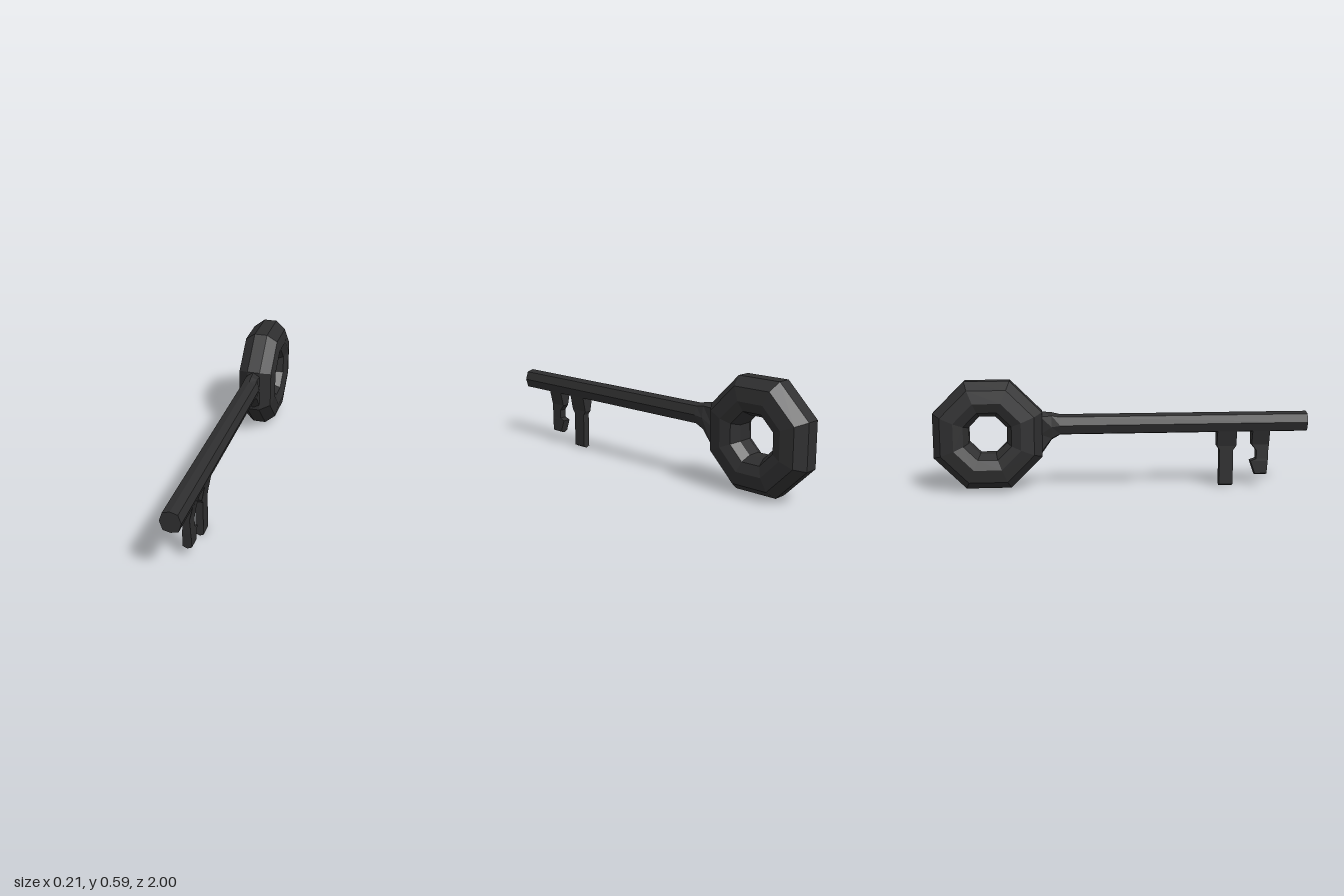
import * as THREE from 'three';

const iron = new THREE.MeshStandardMaterial({ color: 0x2e2e2f, flatShading: true });
iron.name = 'dark iron';

// Skin a row of equal-length cross-sections and cap both ends.
function loft(name, sections) {
  const n = sections[0].length, last = (sections.length - 1) * n, index = [];
  for (let k = 0; k < sections.length - 1; k++) {
    for (let j = 0; j < n; j++) {
      const a = k * n + j, b = k * n + (j + 1) % n;
      index.push(a, b, b + n, a, b + n, a + n);
    }
  }
  for (let j = 1; j < n - 1; j++) index.push(0, j + 1, j, last, last + j, last + j + 1);
  const geometry = new THREE.BufferGeometry();
  geometry.setAttribute('position', new THREE.Float32BufferAttribute(sections.flat(2), 3));
  geometry.setIndex(index);
  geometry.computeVertexNormals();
  const mesh = new THREE.Mesh(geometry, iron);
  mesh.name = name;
  return mesh;
}

// Eight-sided shaft section, counter-clockwise from +x.
function shaftSection(z, width, shoulder, bottom, top) {
  const mid = (bottom + top) / 2, h = (top - bottom) / 2;
  return [[width, 0], [shoulder, 0.8], [0, 1], [-shoulder, 0.8],
    [-width, 0], [-shoulder, -0.84], [0, -1], [shoulder, -0.84]]
    .map(([x, t]) => [x, mid + t * h, z]);
}

// Tooth rows run bottom to top: height, front z, back z, half width.
function tooth(name, rows) {
  return loft(name, rows.map(([y, front, back, w]) =>
    [[w, y, front], [w, y, back], [-w, y, back], [-w, y, front]]));
}

export function createModel() {
  const key = new THREE.Group();
  key.name = 'key';

  // Octagonal ring handle: distance from centre to flat, and side offset
  const profile = [[0.1, -0.036], [0.125, -0.085], [0.175, -0.105], [0.243, -0.093], [0.285, -0.036],
    [0.285, 0.036], [0.243, 0.093], [0.175, 0.105], [0.125, 0.085], [0.1, 0.036], [0.1, -0.036]]
    .map(([r, x]) => new THREE.Vector2(r / Math.cos(Math.PI / 8), x));
  const ring = new THREE.Mesh(new THREE.LatheGeometry(profile, 8, Math.PI / 8), iron);
  ring.name = 'ringHandle';
  ring.rotation.z = Math.PI / 2;
  ring.position.set(0, 0.304, -0.715);
  key.add(ring);

  // Straight shaft flaring into the ring
  key.add(loft('shaft', [
    shaftSection(-0.44, 0.036, 0.036, 0.185, 0.422),
    shaftSection(-0.38, 0.048, 0.036, 0.27, 0.417),
    shaftSection(-0.335, 0.052, 0.037, 0.296, 0.406),
    shaftSection(1, 0.052, 0.037, 0.296, 0.406),
  ]));

  // Plain long tooth
  key.add(tooth('longTooth', [
    [0, 0.598, 0.525, 0.001], [0.01, 0.6, 0.525, 0.02], [0.2, 0.6, 0.525, 0.02],
    [0.222, 0.616, 0.51, 0.02], [0.31, 0.616, 0.51, 0.037],
  ]));

  // Notched tooth with a hooked tip
  key.add(tooth('hookedTooth', [
    [0.057, 0.787, 0.723, 0.001], [0.067, 0.787, 0.721, 0.023], [0.136, 0.792, 0.696, 0.022],
    [0.148, 0.793, 0.728, 0.021], [0.195, 0.794, 0.728, 0.019], [0.227, 0.797, 0.702, 0.018],
    [0.31, 0.797, 0.702, 0.037],
  ]));

  return key;
}
